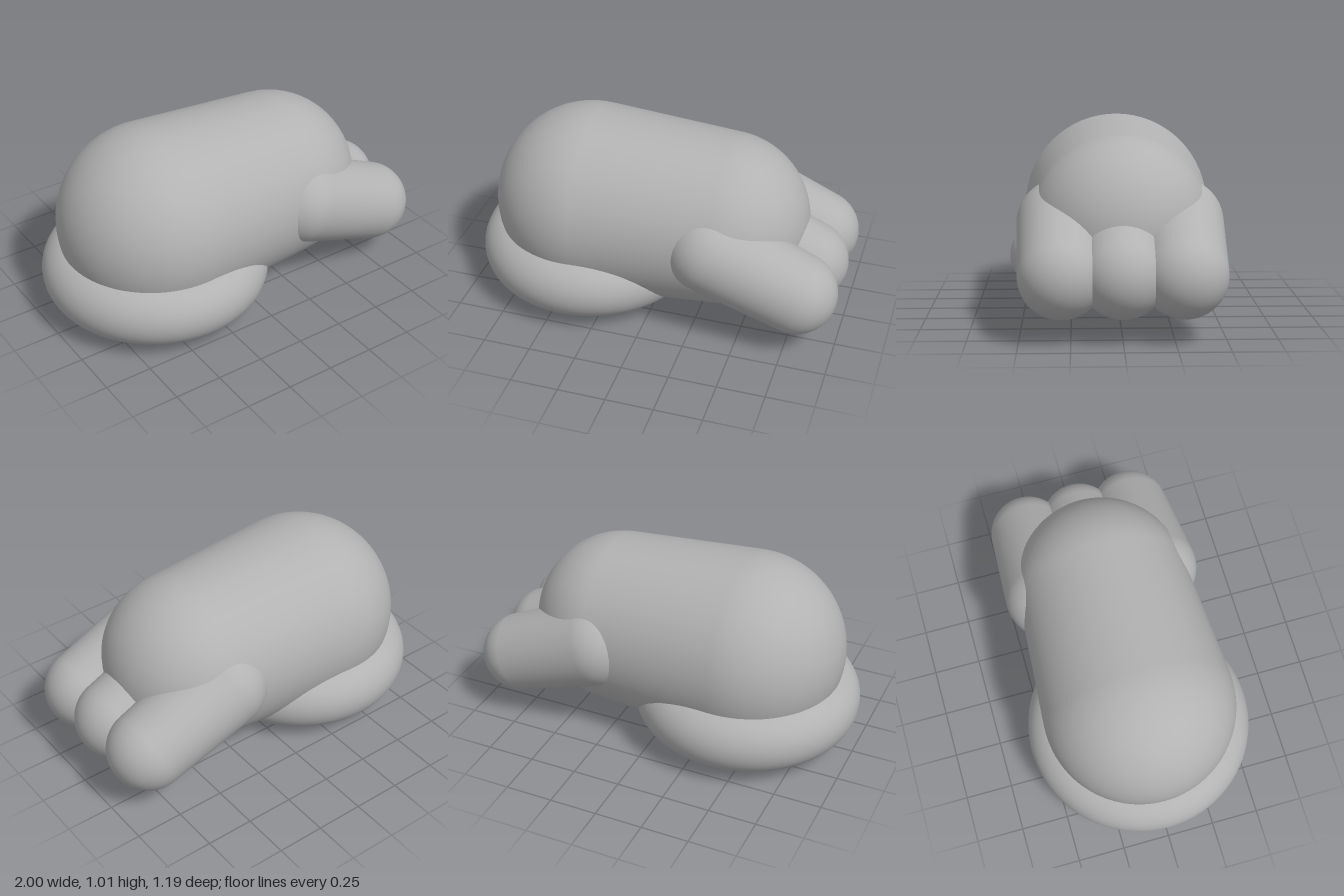
import * as THREE from 'three';

const grey = new THREE.MeshStandardMaterial({ color: 0xb2b2b2 });
grey.name = 'plain grey';

// Two spheres of different radius joined by a tangent cone, running from a to b
function taperedCapsule(name, a, ra, b, rb) {
  const axis = b.clone().sub(a);
  const length = axis.length();
  const tilt = Math.asin((ra - rb) / length); // latitude where the cone touches both spheres
  const steps = 20;
  const profile = [];
  for (let i = 0; i <= steps; i++) {
    const t = -Math.PI / 2 + (tilt + Math.PI / 2) * (i / steps);
    profile.push(new THREE.Vector2(i === 0 ? 0 : ra * Math.cos(t), ra * Math.sin(t)));
  }
  for (let i = 0; i <= steps; i++) {
    const t = tilt + (Math.PI / 2 - tilt) * (i / steps);
    profile.push(new THREE.Vector2(i === steps ? 0 : rb * Math.cos(t), length + rb * Math.sin(t)));
  }
  const mesh = new THREE.Mesh(new THREE.LatheGeometry(profile, 64), grey);
  mesh.name = name;
  mesh.position.copy(a);
  mesh.quaternion.setFromUnitVectors(new THREE.Vector3(0, 1, 0), axis.normalize());
  return mesh;
}

// Flat-bottomed cushion ring with a rounded rim and a straight hole
function cushionRing(rimCentre, tube, hole) {
  const ring = new THREE.Group();
  ring.name = 'baseRing';
  const profile = [new THREE.Vector2(hole, -tube)];
  for (let i = 0; i <= 24; i++) {
    const t = -Math.PI / 2 + Math.PI * (i / 24);
    profile.push(new THREE.Vector2(rimCentre + tube * Math.cos(t), tube * Math.sin(t)));
  }
  profile.push(new THREE.Vector2(hole, tube));
  const rim = new THREE.Mesh(new THREE.LatheGeometry(profile, 80), grey);
  rim.name = 'ringRim';
  const wall = new THREE.Mesh(
    new THREE.LatheGeometry([new THREE.Vector2(hole, tube), new THREE.Vector2(hole, -tube)], 80), grey);
  wall.name = 'ringHoleWall';
  ring.add(rim, wall);
  return ring;
}

export function createModel() {
  const model = new THREE.Group();
  model.name = 'roundedCreature';

  // Main body, fuller at the -x end
  model.add(taperedCapsule('body',
    new THREE.Vector3(-0.403, 0.505, 0), 0.505, new THREE.Vector3(0.325, 0.505, 0), 0.455));

  // Ring under the fuller end
  const ring = cushionRing(0.42, 0.175, 0.29);
  ring.position.set(-0.403, 0.225, 0);
  model.add(ring);

  // Three stubby limbs sloping down toward +x
  for (const [name, z] of [['frontLimb', 0.295], ['middleLimb', 0], ['backLimb', -0.295]]) {
    model.add(taperedCapsule(name,
      new THREE.Vector3(0.33, 0.505, z), 0.23, new THREE.Vector3(0.79, 0.323, z), 0.21));
  }
  return model;
}
